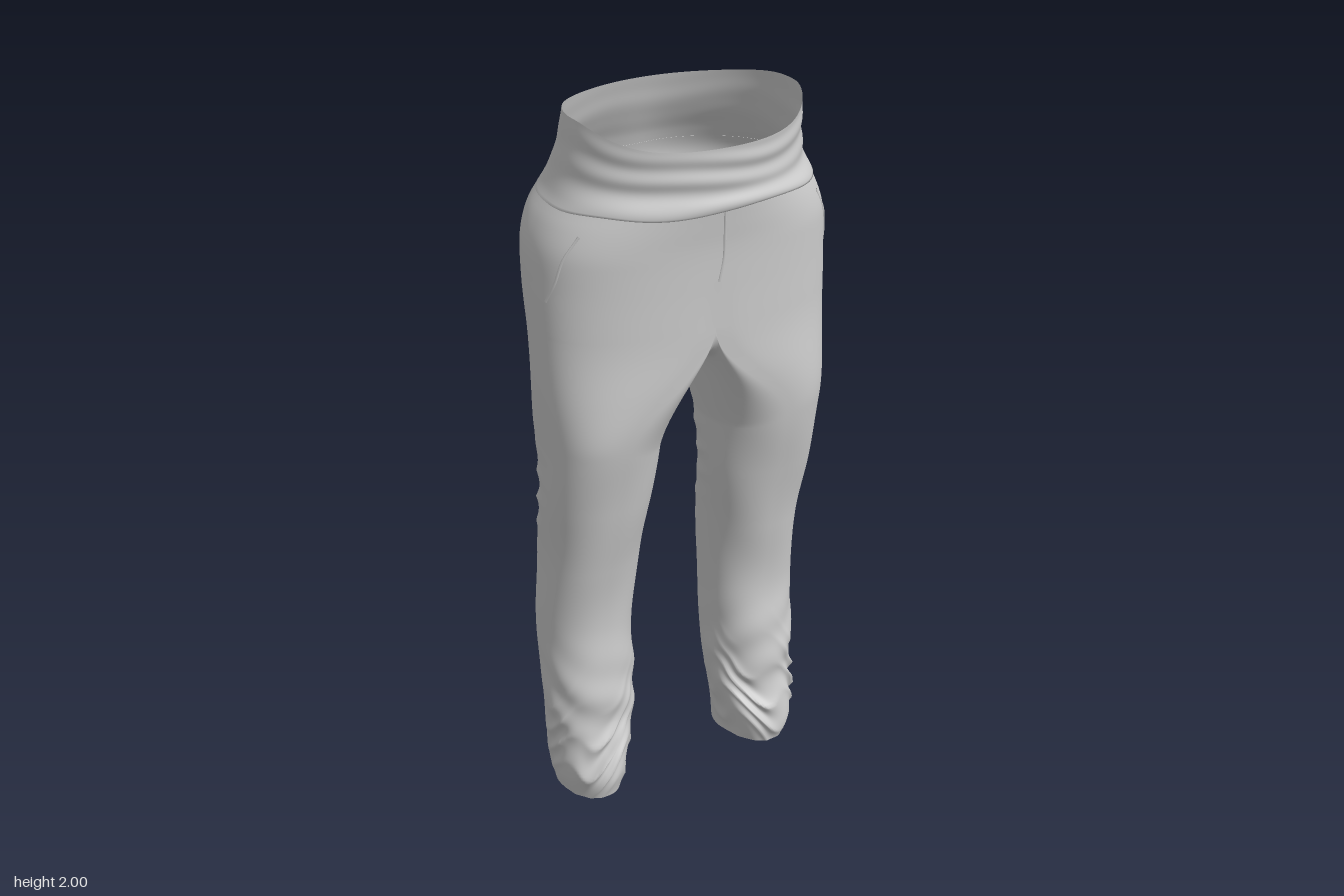
import * as THREE from 'three';
import { mergeGeometries, mergeVertices } from 'three/addons/utils/BufferGeometryUtils.js';

const N = 64;            // columns per half ring
const SPLIT = 1.49;      // height where the two legs join the hips
const lerp = THREE.MathUtils.lerp;
const smooth = THREE.MathUtils.smoothstep;
const bell = (v, mid, w) => Math.exp(-(((v - mid) / w) ** 2));
const spow = (v, e) => Math.sign(v) * Math.abs(v) ** e;

// Silhouette by height: y, outer x, inner leg x, front z, back z
const PROFILE = [
  [0, .345, .18, .1, -.19], [.08, .364, .166, .115, -.18], [.25, .372, .135, .09, -.172],
  [.4, .376, .125, .085, -.182], [.6, .372, .12, .072, -.195], [.8, .367, .106, .1, -.178],
  [1, .371, .088, .145, -.15], [1.2, .377, .068, .187, -.162], [1.33, .382, .055, .204, -.18],
  [1.45, .384, .04, .211, -.2], [1.6, .384, .03, .216, -.24], [1.7, .376, .02, .222, -.258],
  [1.76, .355, .01, .23, -.262], [1.82, .32, 0, .238, -.243], [1.9, .299, 0, .242, -.2], [2, .287, 0, .245, -.165],
];
const curve = new THREE.CubicInterpolant(PROFILE.map(r => r[0]), PROFILE.flatMap(r => r.slice(1)), 4);
const section = y => {
  const [xOut, xIn, zF, zB] = curve.evaluate(THREE.MathUtils.clamp(y, 0, 2));
  return { xOut, xIn, zc: (zF + zB) / 2, rz: (zF - zB) / 2 };
};

// Roundness of the outer corners: full at the front of the thighs, soft at the back
const corner = (y, c) => c > 0
  ? lerp(.9, .78, smooth(y, .4, 1.1)) + .2 * smooth(y, 1.68, 1.88)
  : lerp(1.15, .93, smooth(y, .1, .8)) + .05 * smooth(y, 1.75, 1.9);

// Closed-ring loft: point(row, col) gives [x, y, z]
function loft(rows, cols, point, flip = false) {
  const pos = [], idx = [];
  for (let i = 0; i <= rows; i++) for (let j = 0; j < cols; j++) pos.push(...point(i, j));
  for (let i = 0; i < rows; i++) for (let j = 0; j < cols; j++) {
    const a = i * cols + j, b = i * cols + (j + 1) % cols, c = a + cols, d = b + cols;
    if (flip) idx.push(a, c, b, b, c, d);
    else idx.push(a, b, c, b, d, c);
  }
  const g = new THREE.BufferGeometry();
  g.setAttribute('position', new THREE.Float32BufferAttribute(pos, 3));
  g.setIndex(idx);
  return g;
}

// Hip cross-section: angle 0 is the front centre, PI the back centre
function hipPoint(a, y, grow = 0) {
  const { xOut, zc, rz } = section(y);
  const c = Math.cos(a), e = corner(y, c);
  const x = (xOut + grow) * spow(Math.sin(a), e);
  let z = zc + (rz + grow) * spow(c, e);
  if (c < 0) z += bell(x, 0, .07) * (.04 * bell(y, 1.48, .17) + .012 * bell(y, 1.78, .12));
  else z -= .005 * bell(x, 0, .03) * bell(y, 1.45, .12);
  return [Math.abs(x) < 1e-6 ? 0 : x, y, z];
}

// Cloth folds of a leg, as a push away from its axis
function folds(y, a, side) {
  const s = Math.sin(a), c = Math.cos(a), back = smooth(-c, -.3, .7), front = smooth(c, -.6, .5);
  const crease = v => 1 - 2 * Math.abs(Math.sin(v));
  const patch = .55 + .45 * Math.sin(13 * y + 4 * a + side);
  const knee = bell(y, .95, .15) * back * patch * .007 * crease(38 * y - 5 * Math.abs(s) + Math.sin(3 * a + side));
  const ankle = bell(y, .17, .15) * front * patch * .011 * crease(33 * y + 3.5 * s + 1.6 * Math.sin(4 * a + 9 * y + side));
  const shin = bell(y, .36, .13) * front * .004 * Math.sin(40 * y - 6 * s + 2 * Math.sin(2 * a) + side);
  const drape = .0015 * smooth(1.4 - y, 0, .3) * Math.sin(17 * y + 3 * a + side);
  return knee + ankle + shin + drape;
}

// Leg ring: outer half joins the hips, inner half joins the crotch curve
function legPoint(a, t, side) {
  const inner = a > Math.PI + 1e-6;
  const k = smooth(SPLIT - t, 0, .3);
  const s = Math.sin(a), c = Math.cos(a);
  let y = t, top, kx = k;
  if (inner) {
    const zF = hipPoint(0, t)[2], zB = hipPoint(Math.PI, t)[2];
    y -= .12 * Math.abs(s) ** .7 * Math.max(0, 1 - (SPLIT - t) / .5);
    top = [0, y, (zF + zB) / 2 + (zF - zB) / 2 * c];
    // rounded arch between the legs
    kx = lerp(k, Math.min(1, (SPLIT - t) / .3) ** .45, Math.abs(s));
  } else top = hipPoint(a, t);
  const { xOut, xIn, zc, rz } = section(y);
  const f = folds(y, a, side) * k;
  const e = inner ? .93 : corner(y, c);
  const x = lerp(top[0], (xOut + xIn) / 2 + ((xOut - xIn) / 2) * spow(s, e), kx) + f * s;
  const z = lerp(top[2], zc + rz * spow(c, e), k) + f * c;
  // hem rises towards the toes
  y += .055 * smooth(z, -.19, .13) * Math.max(0, 1 - t / .3);
  return [side * x, y, z];
}

function trousersGeometry() {
  const parts = [];
  const ring = j => (j / N) * Math.PI;
  parts.push(loft(28, 2 * N, (i, j) => hipPoint(ring(j), lerp(SPLIT, 1.81, i / 28))));
  for (const side of [1, -1])
    parts.push(loft(150, 2 * N, (i, j) => legPoint(ring(j), SPLIT * i / 150, side), side < 0));
  const g = mergeVertices(mergeGeometries(parts), 1e-4);
  g.computeVertexNormals();
  return g;
}

// Gathered waistband: folded lower lip in front, smooth at the back, dipped front edge
function waistbandGeometry() {
  const rows = 36;
  const g = loft(rows, 2 * N, (i, j) => {
    const a = (j / N) * Math.PI, c = Math.cos(a), v = Math.max(0, (i - 2) / (rows - 2));
    const front = smooth(c, -.1, .8);
    const rim = 2 - .053 * smooth(c, .1, 1) - .014 * smooth(-c, .2, 1);
    const low = 1.795 + .005 * Math.sin(5 * a) * front;
    const y = lerp(low, rim, v);
    const wave = Math.sin(v * 17 + 1.2 * Math.sin(2 * a) + .7 * Math.sin(5 * a));
    let grow = .001 + .013 * front * bell(v, .05, .16) + (.0008 + .003 * front) * wave * v * (1 - v * v) * 2;
    if (i < 2) grow -= (2 - i) * (.001 + .008 * front);
    const p = hipPoint(a, y, grow);
    p[2] += .006 * front * v;
    return p;
  });
  g.computeVertexNormals();
  return g;
}

export function createModel() {
  const group = new THREE.Group();
  const cloth = new THREE.MeshStandardMaterial({ color: 0xcccccc, side: THREE.DoubleSide });
  const add = (name, geometry) => {
    const mesh = new THREE.Mesh(geometry, cloth);
    mesh.name = name;
    group.add(mesh);
  };
  // Thin stitched ridge following the hip surface through [angle, height] points
  const ridge = (name, points, radius) => {
    const path = new THREE.CatmullRomCurve3(points.map(([a, y]) => new THREE.Vector3(...hipPoint(a, y, -.001))));
    add(name, new THREE.TubeGeometry(path, 32, radius, 6));
  };

  add('trousers', trousersGeometry());
  add('waistband', waistbandGeometry());
  ridge('flySeam', [[.01, 1.8], [.012, 1.73], [.012, 1.67], [.002, 1.61]], .004);
  for (const s of [1, -1])
    ridge(s > 0 ? 'leftPocketEdge' : 'rightPocketEdge',
      [[s * 1.0, 1.75], [s * 1.1, 1.69], [s * 1.18, 1.63], [s * 1.3, 1.58]], .004);
  return group;
}
